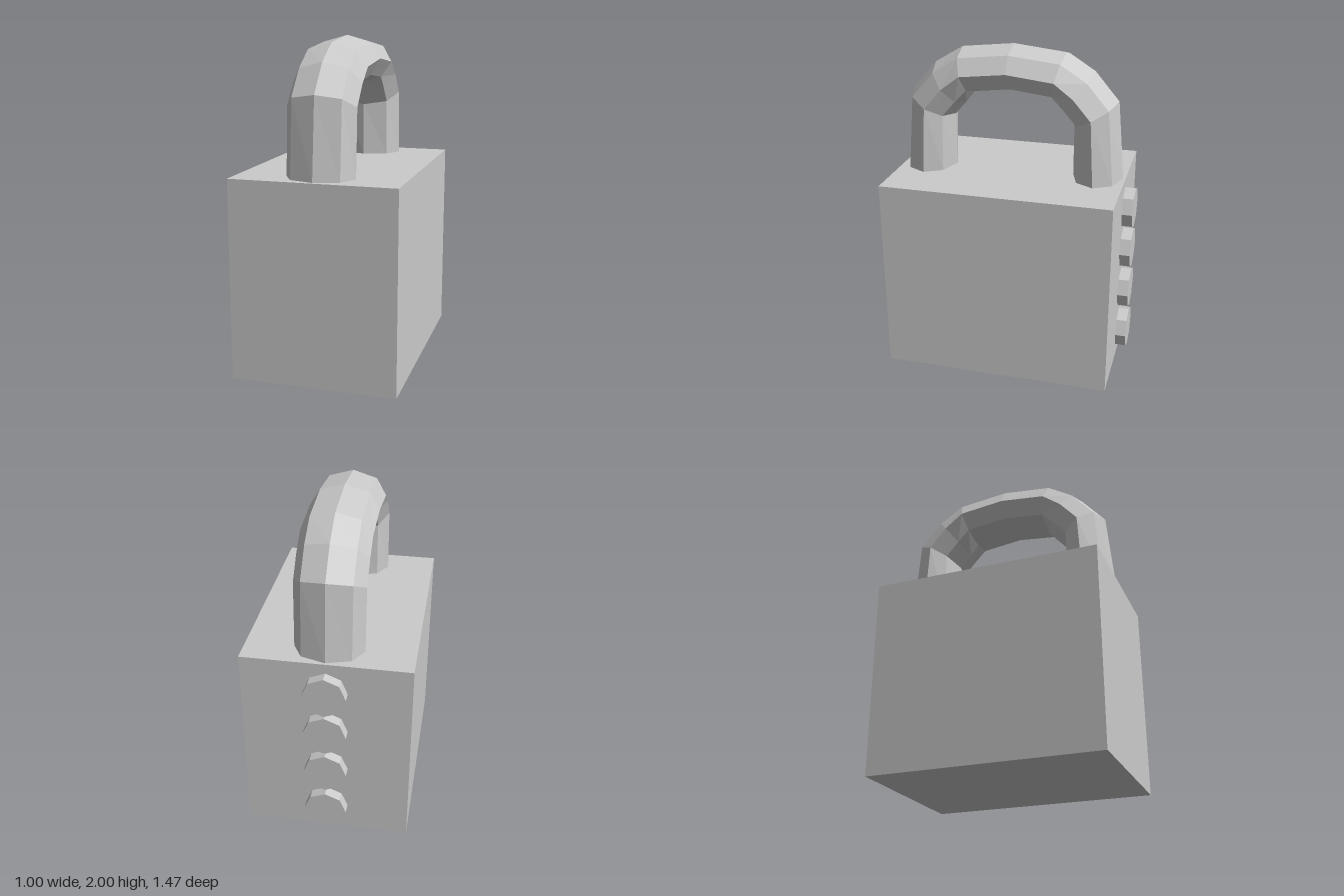
import * as THREE from 'three';

const SIDES = 8;
const CENTER_Z = 0.03; // middle of the shackle

// Half of the arch, foot to crown: [outer z, outer y, inner z, inner y]
const HALF_ARCH = [
  [0.685, 1.21, 0.375, 1.21],
  [0.64, 1.69, 0.375, 1.54],
  [0.495, 1.86, 0.305, 1.62],
  [0.32, 1.965, 0.25, 1.69],
  [0, 2.0, 0, 1.72],
];

// Octagonal bar swept over the arch, one ring per station
function shackleGeometry() {
  const mirrored = HALF_ARCH.slice(0, -1).reverse().map(([oz, oy, iz, iy]) => [-oz, oy, -iz, iy]);
  const stations = [...HALF_ARCH, ...mirrored];
  const positions = [];
  const indices = [];
  stations.forEach(([oz, oy, iz, iy], i) => {
    for (let j = 0; j < SIDES; j++) {
      const a = (j / SIDES) * Math.PI * 2;
      const t = (1 + Math.cos(a)) / 2; // 1 on the outside of the arch, 0 inside
      positions.push(
        0.004 + 0.208 * Math.sin(a),
        THREE.MathUtils.lerp(iy, oy, t),
        CENTER_Z + THREE.MathUtils.lerp(iz, oz, t),
      );
      if (i < stations.length - 1) {
        const k = (j + 1) % SIDES;
        const p = i * SIDES;
        const q = p + SIDES;
        indices.push(p + j, p + k, q + j, p + k, q + k, q + j);
      }
    }
  });
  const geometry = new THREE.BufferGeometry();
  geometry.setAttribute('position', new THREE.Float32BufferAttribute(positions, 3));
  geometry.setIndex(indices);
  const flat = geometry.toNonIndexed();
  flat.computeVertexNormals();
  return flat;
}

export function createModel() {
  const group = new THREE.Group();
  group.name = 'padlock';
  const material = new THREE.MeshStandardMaterial({ color: 0xcccccc, flatShading: true });

  const add = (name, geometry, x, y, z) => {
    const mesh = new THREE.Mesh(geometry, material);
    mesh.name = name;
    mesh.position.set(x, y, z);
    group.add(mesh);
  };

  // Lock body
  add('body', new THREE.BoxGeometry(1, 1.21, 1.405), 0, 0.605, 0.0325);

  // Shackle
  add('shackle', shackleGeometry(), 0, 0, 0);

  // Column of octagonal dials on the back
  const dial = new THREE.CylinderGeometry(0.129, 0.129, 0.065, SIDES).rotateX(Math.PI / 2);
  [0.173, 0.467, 0.75, 1.022].forEach((y, i) => add(`dial${i + 1}`, dial, 0, y, -0.7025));

  return group;
}
